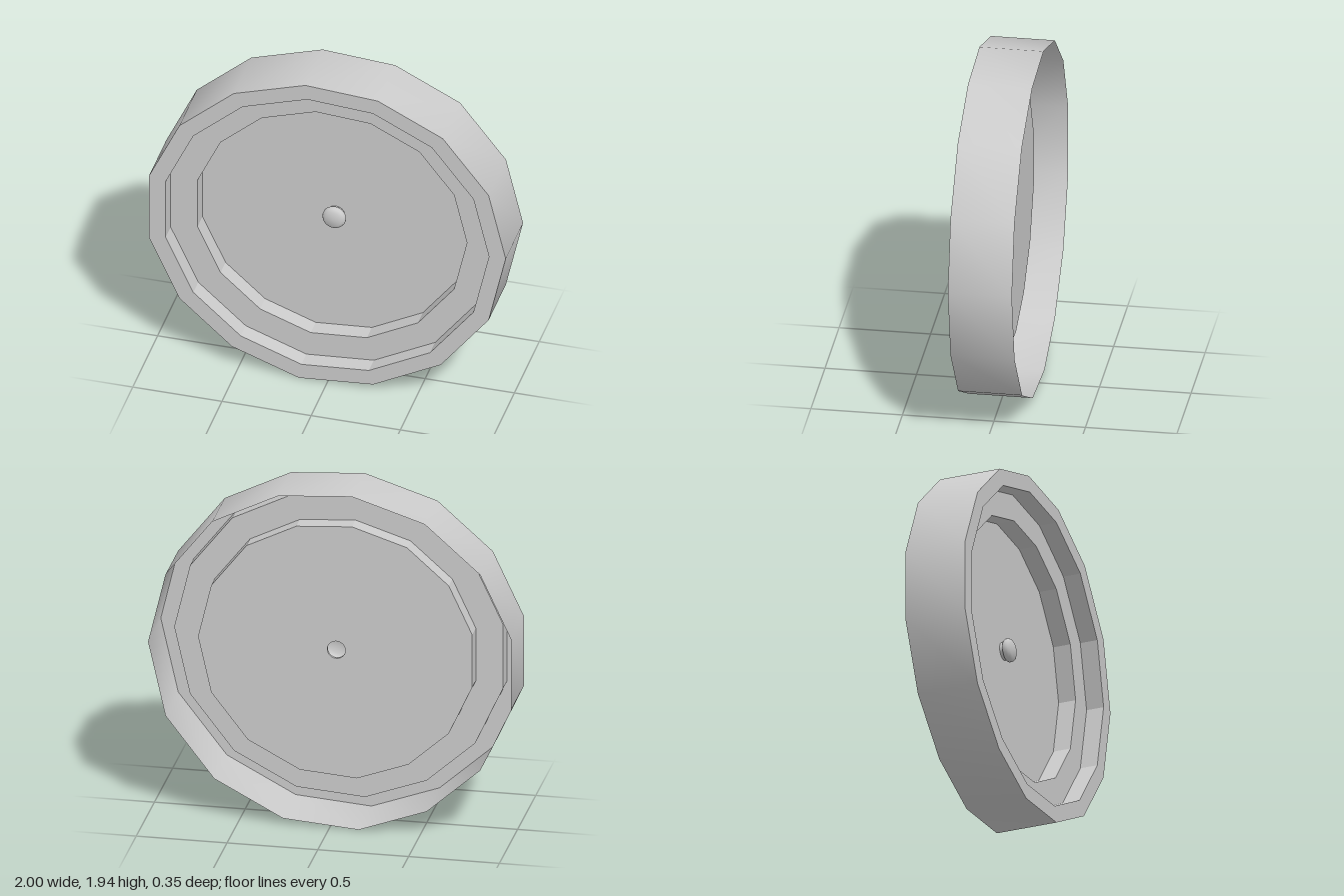
import * as THREE from 'three';
import { toCreasedNormals } from 'three/addons/utils/BufferGeometryUtils.js';

const CENTRE_Y = 0.97;
const HUB = { x: -0.007, y: 0.007, r: 0.05 };

// Slightly uneven fifteen-sided outline, counter-clockwise
const OUTLINE = [
  [1, 1.003], [0.904, 1.403], [0.647, 1.73], [0.283, 1.909], [-0.123, 1.936],
  [-0.524, 1.807], [-0.829, 1.537], [-1, 1.173], [-1, 0.767], [-0.829, 0.398],
  [-0.535, 0.136], [-0.16, 0], [0.257, 0.034], [0.636, 0.235], [0.904, 0.58],
].map(([x, y]) => new THREE.Vector2(x, y - CENTRE_Y));

const outline = (scale) => OUTLINE.map((p) => p.clone().multiplyScalar(scale));

// Open band following the outline between two depths
function band(scale, zBack, zFront, smooth) {
  const points = outline(scale);
  const n = points.length;
  const positions = [];
  const index = [];
  points.forEach((p, i) => {
    positions.push(p.x, p.y, zBack, p.x, p.y, zFront);
    const a = 2 * i, b = 2 * ((i + 1) % n);
    index.push(a, b, b + 1, a, b + 1, a + 1);
  });
  let geometry = new THREE.BufferGeometry();
  geometry.setAttribute('position', new THREE.Float32BufferAttribute(positions, 3));
  geometry.setIndex(index);
  if (!smooth) geometry = geometry.toNonIndexed();
  geometry.computeVertexNormals();
  return geometry;
}

// Flat face at one depth, with an opening
function face(scale, hole, z) {
  const shape = new THREE.Shape(outline(scale));
  shape.holes.push(hole);
  return new THREE.ShapeGeometry(shape, 12).translate(0, 0, z);
}

export function createModel() {
  const model = new THREE.Group();
  const body = new THREE.Group();
  body.name = 'wheel';
  body.position.y = CENTRE_Y;
  model.add(body);

  const material = new THREE.MeshStandardMaterial({ color: 0xcccccc, side: THREE.DoubleSide });
  const add = (name, geometry) => {
    const mesh = new THREE.Mesh(geometry, material);
    mesh.name = name;
    body.add(mesh);
    return mesh;
  };

  const [rim, lip, dish] = [1, 0.906, 0.755];
  const [zBack, zFront, zLedge, zDisc] = [-0.175, 0.175, 0.075, -0.025];

  // Thin stepped shell, open at the back
  add('outerWall', band(rim, zBack, zFront, true));
  add('rimFace', face(rim, new THREE.Path(outline(lip)), zFront));
  add('rimStep', band(lip, zLedge, zFront, false));
  add('ledge', face(lip, new THREE.Path(outline(dish)), zLedge));
  add('innerStep', band(dish, zDisc, zLedge, false));

  const hubHole = new THREE.Path().absarc(HUB.x, HUB.y, HUB.r, 0, Math.PI * 2, true);
  add('centreDisc', face(dish, hubHole, zDisc));

  // Hollow knob with a narrow neck and a rounded cap
  const profile = [
    [0.05, 0], [0.05, 0.016], [0.06, 0.02], [0.065, 0.028], [0.065, 0.04],
    [0.06, 0.051], [0.045, 0.06], [0, 0.065],
  ].map(([r, h]) => new THREE.Vector2(r, h));
  const knob = add('hubKnob', toCreasedNormals(new THREE.LatheGeometry(profile, 24), 0.7));
  knob.rotation.x = Math.PI / 2;
  knob.position.set(HUB.x, HUB.y, zDisc);

  return model;
}
